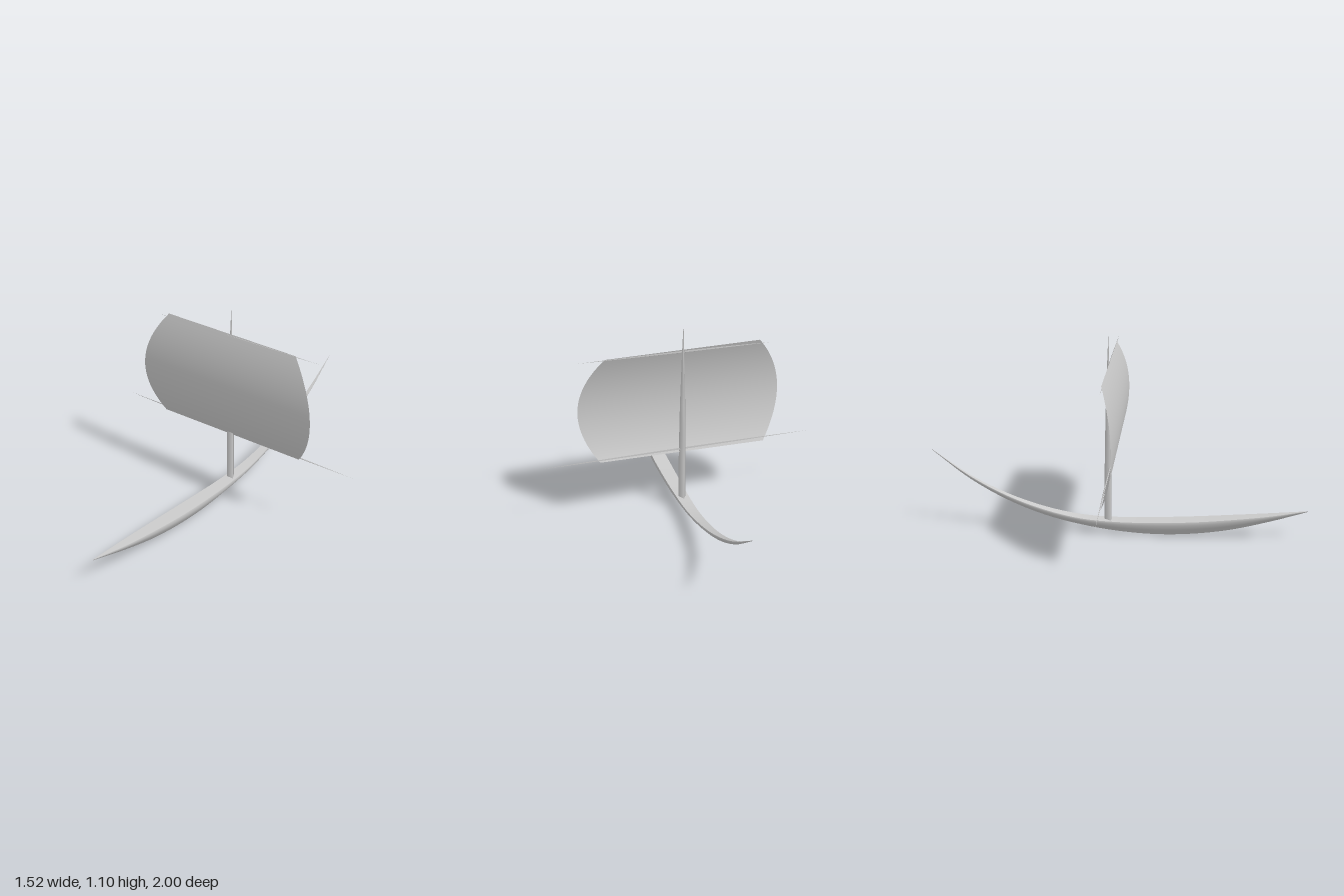
import * as THREE from 'three';

const grey = new THREE.MeshStandardMaterial({ color: 0xcccccc, side: THREE.DoubleSide });
const AXIS_X = -0.025; // centreline of hull and mast

// Surface through rows of points (all rows the same length)
function loft(rows) {
  const n = rows[0].length, index = [];
  for (let i = 0; i < rows.length - 1; i++) {
    for (let j = 0; j < n - 1; j++) {
      const a = i * n + j, b = a + n;
      index.push(a, a + 1, b, a + 1, b + 1, b);
    }
  }
  const g = new THREE.BufferGeometry();
  g.setAttribute('position', new THREE.Float32BufferAttribute(rows.flat(2), 3));
  g.setIndex(index);
  g.computeVertexNormals();
  return g;
}

function addMesh(parent, name, geometry) {
  const mesh = new THREE.Mesh(geometry, grey);
  mesh.name = name;
  parent.add(mesh);
  return mesh;
}

// Three-sided spar; profile pairs are [radius, fraction of length]
function spar(parent, name, from, to, profile) {
  const a = new THREE.Vector3(...from), dir = new THREE.Vector3(...to).sub(a);
  const len = dir.length();
  const points = profile.map(([r, t]) => new THREE.Vector2(r, t * len));
  const mesh = addMesh(parent, name, new THREE.LatheGeometry(points, 3, Math.PI));
  mesh.position.copy(a);
  mesh.quaternion.setFromUnitVectors(new THREE.Vector3(0, 1, 0), dir.normalize());
}

// Stations from bow to stern: z, keel height, sheer height, half width
const stations = [
  [1, 0.163, 0.167, 0.0005], [0.8, 0.098, 0.138, 0.024], [0.6, 0.044, 0.115, 0.037],
  [0.4, 0.012, 0.096, 0.043], [0.2, 0.001, 0.084, 0.042], [0, 0.012, 0.079, 0.037],
  [-0.2, 0.042, 0.09, 0.031], [-0.4, 0.092, 0.132, 0.024], [-0.6, 0.172, 0.203, 0.017],
  [-0.8, 0.288, 0.307, 0.009], [-1, 0.448, 0.451, 0.0005],
];

function hullSections(count) {
  const spine = new THREE.CatmullRomCurve3(stations.map(([z, k, s]) => new THREE.Vector3(k, s, z)));
  const widths = new THREE.CatmullRomCurve3(stations.map(([z, , , w]) => new THREE.Vector3(w, 0, z)));
  return Array.from({ length: count + 1 }, (_, i) => {
    const p = spine.getPoint(i / count);
    return { z: p.z, keel: Math.max(0, p.x), sheer: p.y, w: Math.max(0.0005, widths.getPoint(i / count).x) };
  });
}

export function createModel() {
  const model = new THREE.Group();
  model.name = 'sailingBoat';

  // Hull: two V-shaped sides meeting at a sharp keel, closed by a deck
  const hull = new THREE.Group();
  hull.name = 'hull';
  hull.position.x = AXIS_X;
  model.add(hull);
  const sections = hullSections(40);
  const sideProfile = [[0.92, 1], [1, 0.8], [0.68, 0.45], [0, 0]]; // width, height fractions
  const at = (s, fx, fy) => [fx * s.w, s.keel + fy * (s.sheer - s.keel), s.z];
  addMesh(hull, 'leftHullSide', loft(sections.map(s => sideProfile.map(([x, y]) => at(s, x, y)))));
  const mirrored = [...sideProfile].reverse();
  addMesh(hull, 'rightHullSide', loft(sections.map(s => mirrored.map(([x, y]) => at(s, -x, y)))));
  addMesh(hull, 'deck', loft(sections.map(s => [-0.92, 0, 0.92].map(x => at(s, x, 1)))));

  // Mast, tapering to a point
  spar(model, 'mast', [AXIS_X, 0.05, -0.052], [AXIS_X, 1.1, -0.052],
    [[0.024, 0], [0.0225, 0.3], [0.017, 0.57], [0.0065, 0.86], [0, 1]]);

  // Slightly tilted yards, thickest in the middle
  const yardProfile = [[0, 0], [0.004, 0.25], [0.006, 0.5], [0.004, 0.75], [0, 1]];
  spar(model, 'lowerYard', [-0.76, 0.36, -0.045], [0.76, 0.402, -0.045], yardProfile);
  spar(model, 'upperYard', [-0.52, 0.928, -0.045], [0.52, 0.96, -0.045], yardProfile);

  // Sail: bellied forward, bowed outward at both sides
  const rows = [];
  const steps = 24;
  for (let i = 0; i <= steps; i++) {
    const t = i / steps, belly = 4 * t * (1 - t), row = [];
    const half = 0.455 - 0.045 * t + 0.115 * belly;
    for (let j = 0; j <= steps; j++) {
      const u = j / steps * 2 - 1;
      const bottom = 0.362 + 0.018 * u, top = 0.955 + 0.005 * u;
      row.push([-0.032 + u * half, THREE.MathUtils.lerp(bottom, top, t), -0.045 + 0.058 * belly]);
    }
    rows.push(row);
  }
  addMesh(model, 'sail', loft(rows));

  return model;
}
